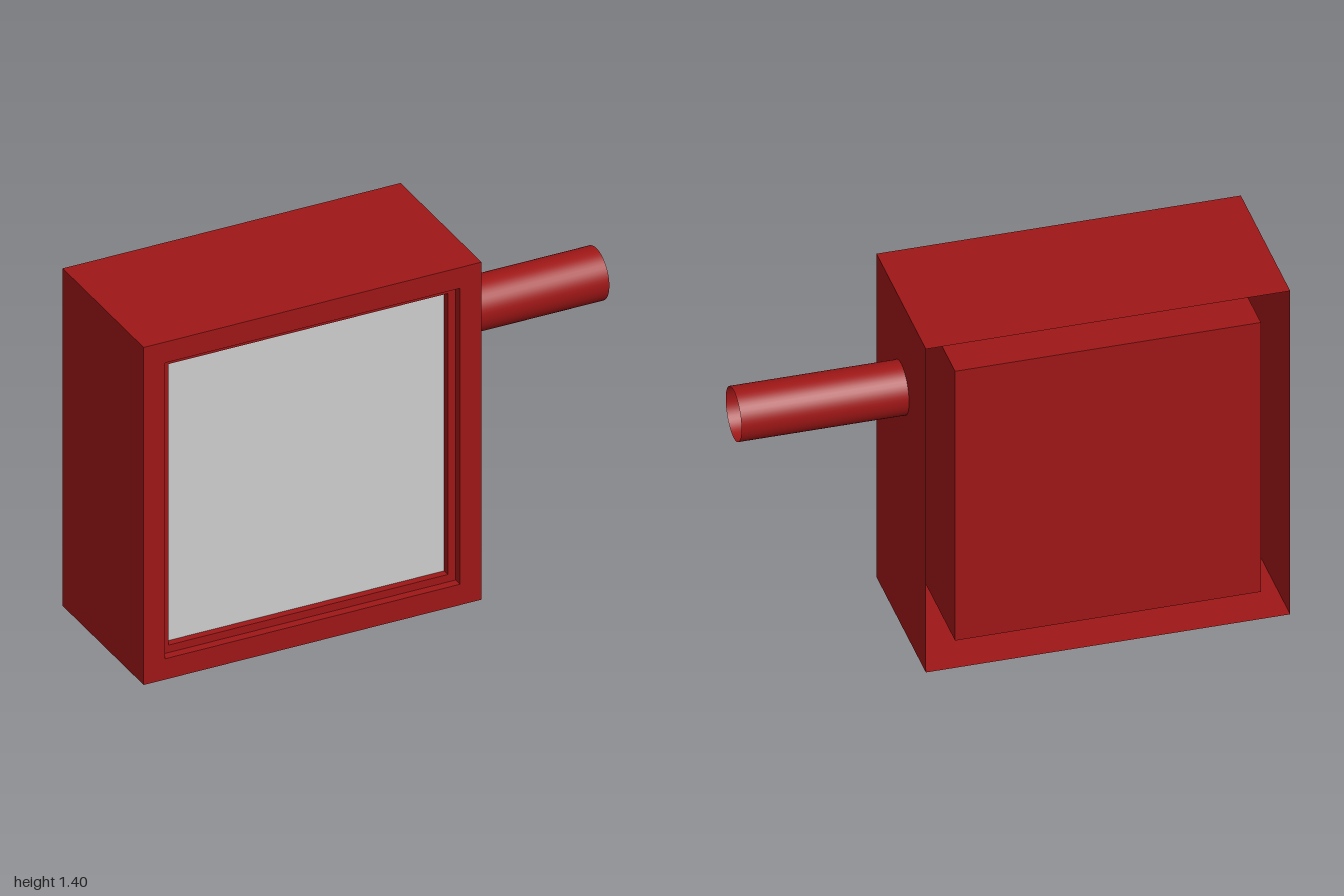
import * as THREE from 'three';

const red = new THREE.MeshStandardMaterial({ color: 0x9e1616, side: THREE.DoubleSide });
const grey = new THREE.MeshStandardMaterial({ color: 0xcccccc, side: THREE.DoubleSide });

// Joins rectangular rings [halfWidth, halfHeight, z] with flat, sharp-edged walls
function rectLoft(rings) {
  const corners = [[1, -1], [1, 1], [-1, 1], [-1, -1]];
  const pos = [];
  const point = (ring, k) => {
    const [sx, sy] = corners[k % 4];
    return [sx * ring[0], sy * ring[1], ring[2]];
  };
  for (let i = 0; i < rings.length - 1; i++) {
    for (let k = 0; k < 4; k++) {
      const a = point(rings[i], k), b = point(rings[i], k + 1);
      const c = point(rings[i + 1], k + 1), d = point(rings[i + 1], k);
      pos.push(...a, ...b, ...c, ...a, ...c, ...d);
    }
  }
  const geo = new THREE.BufferGeometry();
  geo.setAttribute('position', new THREE.Float32BufferAttribute(pos, 3));
  geo.computeVertexNormals();
  return geo;
}

export function createModel() {
  const model = new THREE.Group();
  model.name = 'wallBox';
  const add = (name, geo, mat, x, y, z) => {
    const mesh = new THREE.Mesh(geo, mat);
    mesh.name = name;
    mesh.position.set(x, y, z);
    model.add(mesh);
    return mesh;
  };
  const cx = -0.315, cy = 0.7025;

  // Thin housing, open at the back, with a stepped frame around the front opening
  add('housing', rectLoft([
    [0.685, 0.7025, -0.323],
    [0.685, 0.7025, 0.323],
    [0.598, 0.616, 0.323],
    [0.598, 0.616, 0.288],
    [0.566, 0.585, 0.288],
    [0.566, 0.585, 0.258],
  ]), red, cx, cy, 0);

  // Grey panel set back in the frame
  add('frontPanel', new THREE.PlaneGeometry(1.132, 1.17), grey, cx, cy, 0.258);

  // Solid block behind the panel, reaching the open back
  add('innerBlock', new THREE.BoxGeometry(1.15, 1.17, 0.575), red, cx, cy, -0.0345);

  // Hollow pipe on the left side
  const pipe = add('sidePipe',
    new THREE.CylinderGeometry(0.103, 0.103, 0.63, 48, 1, true), red, 0.685, 1.032, 0);
  pipe.rotation.z = -Math.PI / 2;

  return model;
}
